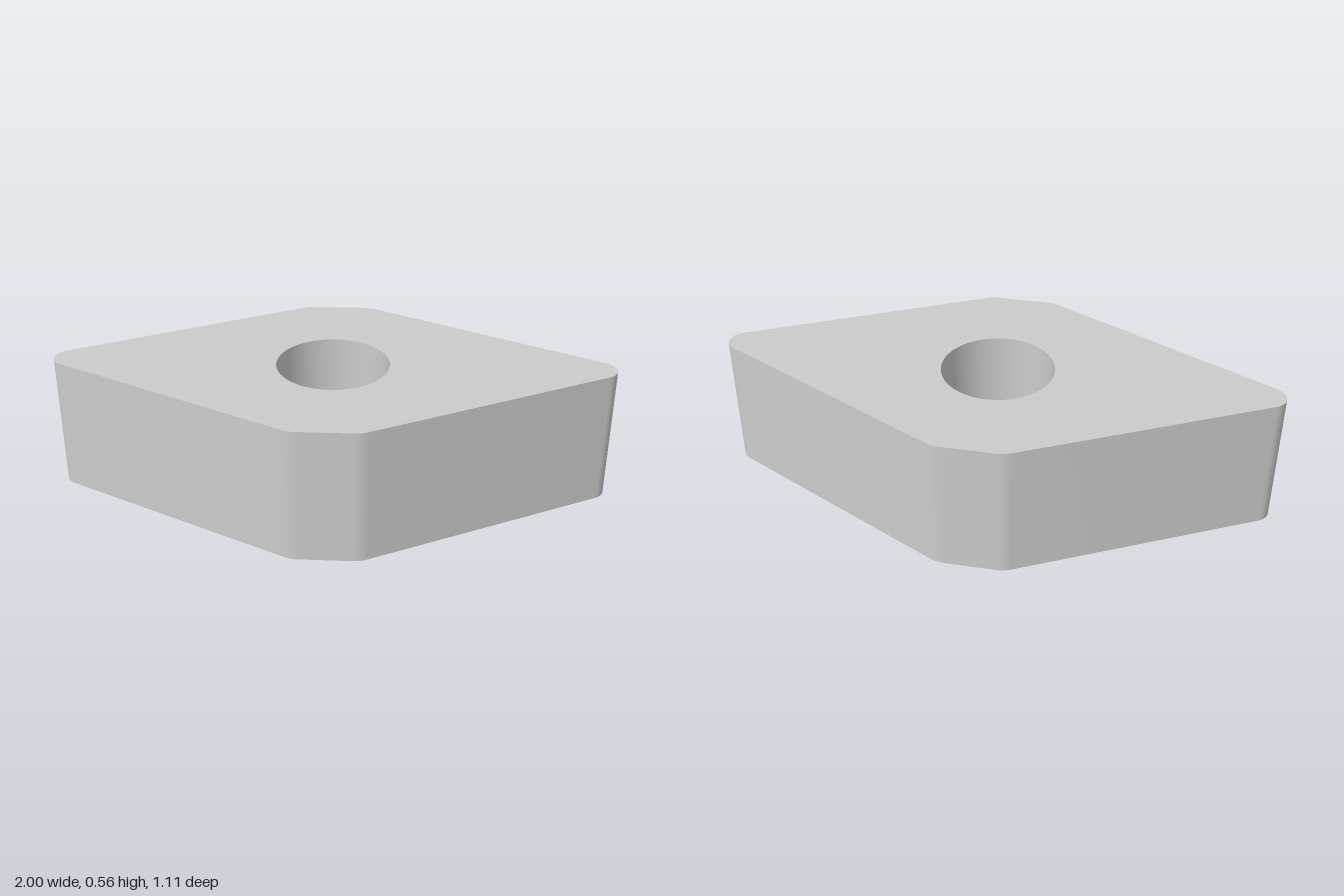
import * as THREE from 'three';
import { toCreasedNormals } from 'three/addons/utils/BufferGeometryUtils.js';

const HALF = 0.5535, HEIGHT = 0.555, HOLE = 0.225;
const ANGLE = THREE.MathUtils.degToRad(55);

// Rounds every corner of a clockwise polygon with a tangent arc
function roundedShape(corners, segments) {
  const points = [];
  corners.forEach(([p, radius], i) => {
    const n = corners.length;
    const a = corners[(i + n - 1) % n][0].clone().sub(p).normalize();
    const b = corners[(i + 1) % n][0].clone().sub(p).normalize();
    const half = Math.acos(a.dot(b)) / 2;
    const centre = a.clone().add(b).normalize().multiplyScalar(radius / Math.sin(half)).add(p);
    const start = a.clone().multiplyScalar(radius / Math.tan(half)).add(p).sub(centre);
    const sweep = -(Math.PI - 2 * half);
    for (let s = 0; s <= segments; s++) {
      points.push(start.clone().rotateAround(new THREE.Vector2(), sweep * s / segments).add(centre));
    }
  });
  return new THREE.Shape(points);
}

export function createModel() {
  const group = new THREE.Group();
  group.name = 'rhombicInsert';

  // Rhombus around a circle: sharp tip, then the cut blunt corner
  const tipX = HALF * (1 + Math.cos(ANGLE)) / Math.sin(ANGLE);
  const bluntX = HALF * (1 - Math.cos(ANGLE)) / Math.sin(ANGLE);
  const cut = 0.15;
  const halfOutline = [
    [tipX, HALF, 0.069],
    [bluntX + cut * Math.cos(ANGLE), -HALF + cut * Math.sin(ANGLE), 0.12],
    [bluntX - cut, -HALF, 0.12],
  ];
  // The outline repeats after half a turn
  const corners = [1, -1].flatMap((s) =>
    halfOutline.map(([x, y, r]) => [new THREE.Vector2(s * x, s * y), r]));
  const shape = roundedShape(corners, 32);

  // Central through hole, wound against the clockwise outline
  const hole = new THREE.Path();
  hole.absarc(0, 0, HOLE, 0, Math.PI * 2, false);
  shape.holes.push(hole);

  const extruded = new THREE.ExtrudeGeometry(shape, {
    depth: HEIGHT, bevelEnabled: false, curveSegments: 64,
  });
  extruded.rotateX(-Math.PI / 2);
  const body = new THREE.Mesh(
    toCreasedNormals(extruded, 0.5),
    new THREE.MeshStandardMaterial({ color: 0xcccccc }),
  );
  body.name = 'insertBody';
  group.add(body);
  return group;
}
